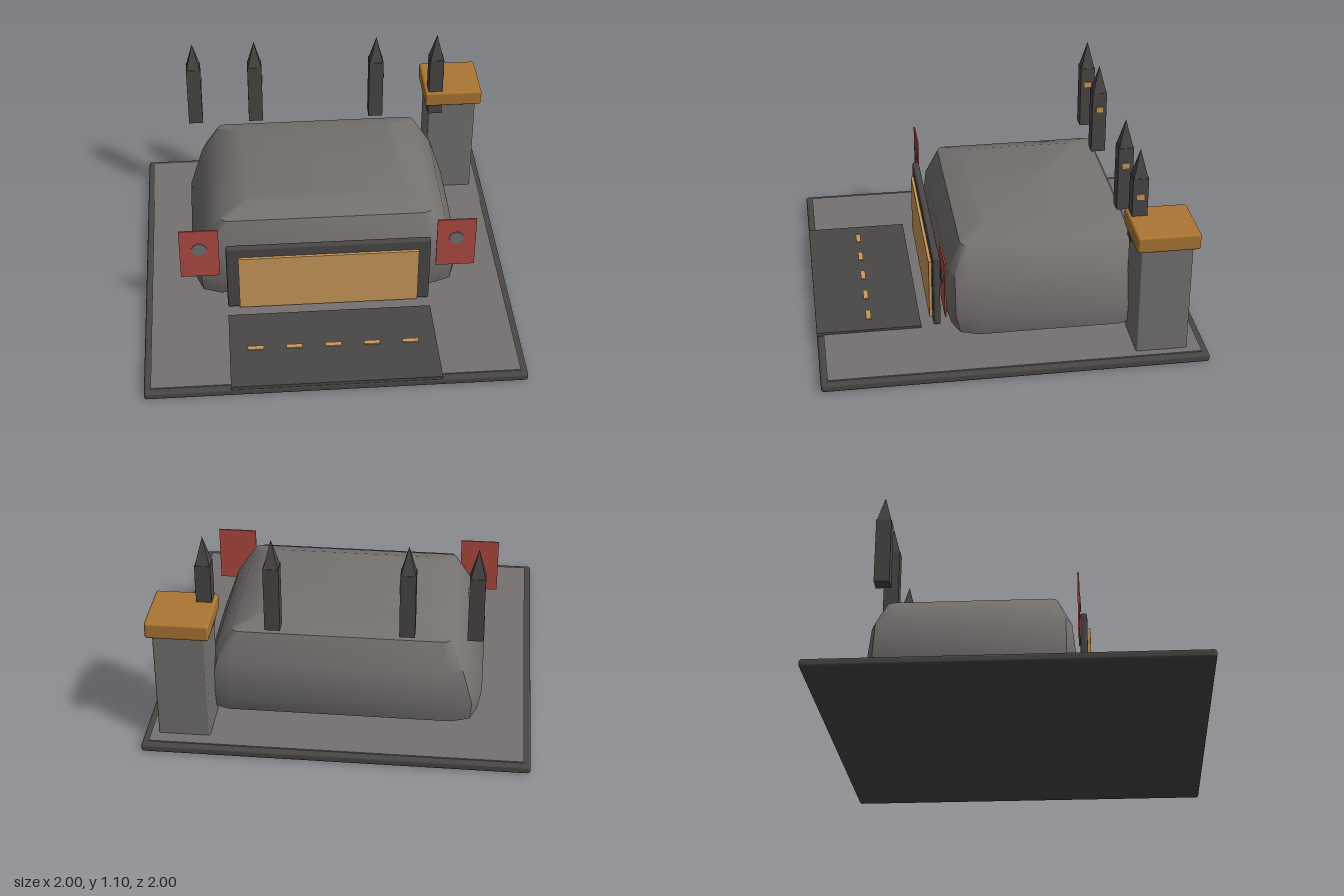
import * as THREE from 'three';
import { toCreasedNormals } from 'three/addons/utils/BufferGeometryUtils.js';
import { RoundedBoxGeometry } from 'three/addons/geometries/RoundedBoxGeometry.js';

const material = (name, color) => {
  const m = new THREE.MeshStandardMaterial({ color });
  m.name = name;
  return m;
};

// Bulging hull: chamfered rectangles stacked in y; each ring is [y, halfWidth, halfDepth, corner]
function hullGeometry(rings) {
  const positions = [], index = [];
  for (const [y, w, d, c] of rings) {
    const corner = [[w, d - c], [w - 0.27 * c, d - 0.27 * c], [w - c, d]];
    const back = [...corner].reverse();
    const loop = [
      ...corner,
      ...back.map(([x, z]) => [-x, z]),
      ...corner.map(([x, z]) => [-x, -z]),
      ...back.map(([x, z]) => [x, -z]),
    ];
    for (const [x, z] of loop) positions.push(x, y, z);
  }
  const n = 12, last = (rings.length - 1) * n;
  for (let r = 0; r < rings.length - 1; r++) {
    for (let i = 0; i < n; i++) {
      const a = r * n + i, b = r * n + (i + 1) % n;
      index.push(a, a + n, b, b, a + n, b + n);
    }
  }
  for (let i = 1; i < n - 1; i++) {
    index.push(last, last + i + 1, last + i);
    index.push(0, i, i + 1);
  }
  const g = new THREE.BufferGeometry();
  g.setAttribute('position', new THREE.Float32BufferAttribute(positions, 3));
  g.setIndex(index);
  return toCreasedNormals(g, 0.76);
}

export function createModel() {
  const model = new THREE.Group();
  model.name = 'hangar';
  const stone = material('stone grey', 0x757270);
  const dark = material('dark iron', 0x4a4646);
  const tan = material('warm tan', 0xcd9a5b);
  const bronze = material('bronze', 0xab7633);
  const red = material('banner red', 0xb24a42);

  const add = (name, geometry, mat, x, y, z, parent = model) => {
    const mesh = new THREE.Mesh(geometry, mat);
    mesh.name = name;
    mesh.position.set(x, y, z);
    parent.add(mesh);
    return mesh;
  };
  const box = (w, h, d) => new THREE.BoxGeometry(w, h, d);
  const rounded = (w, h, d, r) => new RoundedBoxGeometry(w, h, d, 2, r);

  // Ground slab, paving and landing apron
  add('slab', rounded(2, 0.044, 2, 0.014), dark, 0, 0.022, 0);
  add('paving', box(1.93, 0.01, 1.93), stone, 0, 0.045, 0);
  add('apron', box(1.1, 0.02, 0.55), dark, 0, 0.053, 0.725);
  for (let i = -2; i <= 2; i++) {
    add('apronMarking', box(0.085, 0.006, 0.026), tan, i * 0.206, 0.066, 0.72);
  }

  // Main hull
  add('hull', hullGeometry([
    [0.05, 0.62, 0.41, 0.08],
    [0.09, 0.715, 0.5, 0.13],
    [0.2, 0.737, 0.537, 0.18],
    [0.4, 0.665, 0.515, 0.11],
    [0.545, 0.57, 0.447, 0.04],
    [0.59, 0.43, 0.33, 0.03],
  ]), stone, 0, 0, -0.208);

  // Door and its frame
  add('doorFrame', rounded(1.1, 0.41, 0.038, 0.012), dark, 0, 0.265, 0.365);
  add('door', box(0.97, 0.34, 0.02), tan, 0, 0.24, 0.389);

  // Banners with round bosses
  for (const side of [-1, 1]) {
    add('banner', box(0.21, 0.31, 0.008), red, side * 0.69, 0.42, 0.345);
    const boss = add('bannerBoss', new THREE.CylinderGeometry(0.04, 0.04, 0.006, 20), stone,
      side * 0.69, 0.45, 0.351);
    boss.rotation.x = Math.PI / 2;
  }

  // Row of spires, each with a small lit window
  const roof = new THREE.ConeGeometry(0.037 * Math.SQRT2, 0.15, 4).rotateY(Math.PI / 4);
  const spireRoof = toCreasedNormals(roof, 0.3);
  for (const x of [-0.69, -0.345, 0.345, 0.69]) {
    const spire = new THREE.Group();
    spire.name = 'spire';
    spire.position.set(x, 0, -0.657);
    model.add(spire);
    add('spireShaft', box(0.08, 0.36, 0.08), dark, 0, 0.77, 0, spire);
    add('spireRoof', spireRoof, dark, 0, 1.025, 0, spire);
    add('spireWindow', box(0.009, 0.03, 0.038), tan, 0.041, 0.85, 0, spire);
  }

  // Corner tower
  add('tower', rounded(0.27, 0.61, 0.27, 0.01), stone, 0.79, 0.347, -0.76);
  add('towerCap', rounded(0.325, 0.09, 0.325, 0.014), bronze, 0.793, 0.695, -0.762);

  return model;
}
